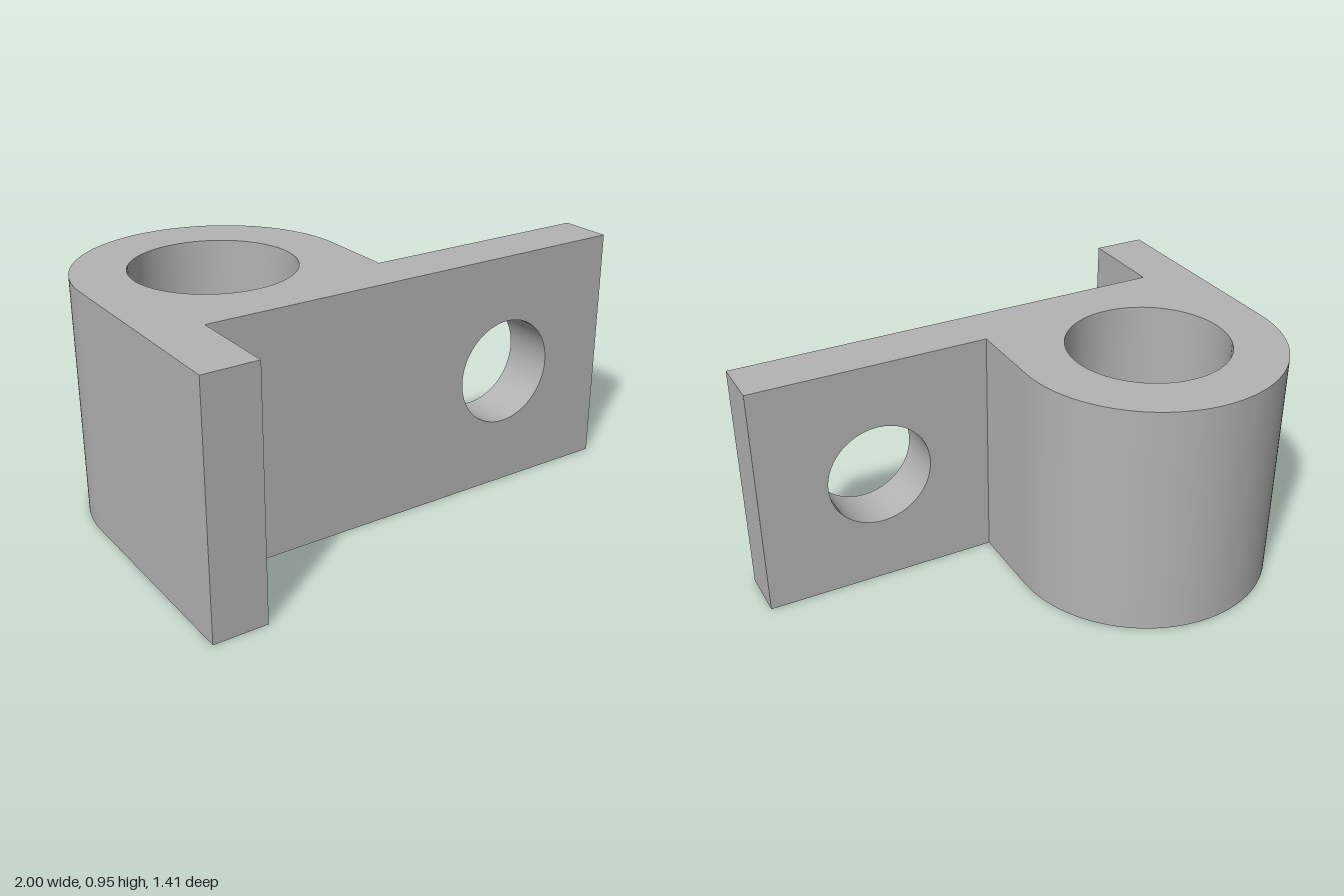
import * as THREE from 'three';
import { toCreasedNormals } from 'three/addons/utils/BufferGeometryUtils.js';

const HEIGHT = 0.95;
const WALL_FRONT = 0.345, WALL_BACK = 0.137; // z faces of the mounting plate
const BOSS = { x: -0.475, z: -0.18, radius: 0.525, bore: 0.317 };
const BOSS_SIDE = BOSS.x + BOSS.radius;

function circleHole(x, y, radius) {
  return new THREE.Path().absarc(x, y, radius, 0, Math.PI * 2, true);
}

function extrude(shape, depth) {
  const geometry = new THREE.ExtrudeGeometry(shape, { depth, bevelEnabled: false, curveSegments: 48 });
  return toCreasedNormals(geometry, Math.PI / 6);
}

export function createModel() {
  const group = new THREE.Group();
  group.name = 'bracket';
  const grey = new THREE.MeshStandardMaterial({ color: 0xb3b3b3 });
  grey.name = 'grey';

  // Rounded boss with vertical bore and short front flange, drawn in plan (shape y = -z)
  const plan = new THREE.Shape();
  plan.moveTo(-1, -0.705);
  plan.lineTo(-0.79, -0.705);
  plan.lineTo(-0.79, -WALL_FRONT);
  plan.lineTo(BOSS_SIDE, -WALL_FRONT);
  plan.lineTo(BOSS_SIDE, -BOSS.z);
  plan.absarc(BOSS.x, -BOSS.z, BOSS.radius, 0, Math.PI, false);
  plan.closePath();
  plan.holes.push(circleHole(BOSS.x, -BOSS.z, BOSS.bore));
  const boss = new THREE.Mesh(extrude(plan, HEIGHT).rotateX(-Math.PI / 2), grey);
  boss.name = 'boredBoss';

  // Mounting plate with a horizontal bolt hole
  const face = new THREE.Shape();
  face.moveTo(BOSS_SIDE, 0);
  face.lineTo(1, 0);
  face.lineTo(1, HEIGHT);
  face.lineTo(BOSS_SIDE, HEIGHT);
  face.closePath();
  face.holes.push(circleHole(0.513, HEIGHT / 2, 0.212));
  const plate = new THREE.Mesh(extrude(face, WALL_FRONT - WALL_BACK), grey);
  plate.position.z = WALL_BACK;
  plate.name = 'mountingPlate';

  group.add(boss, plate);
  return group;
}
